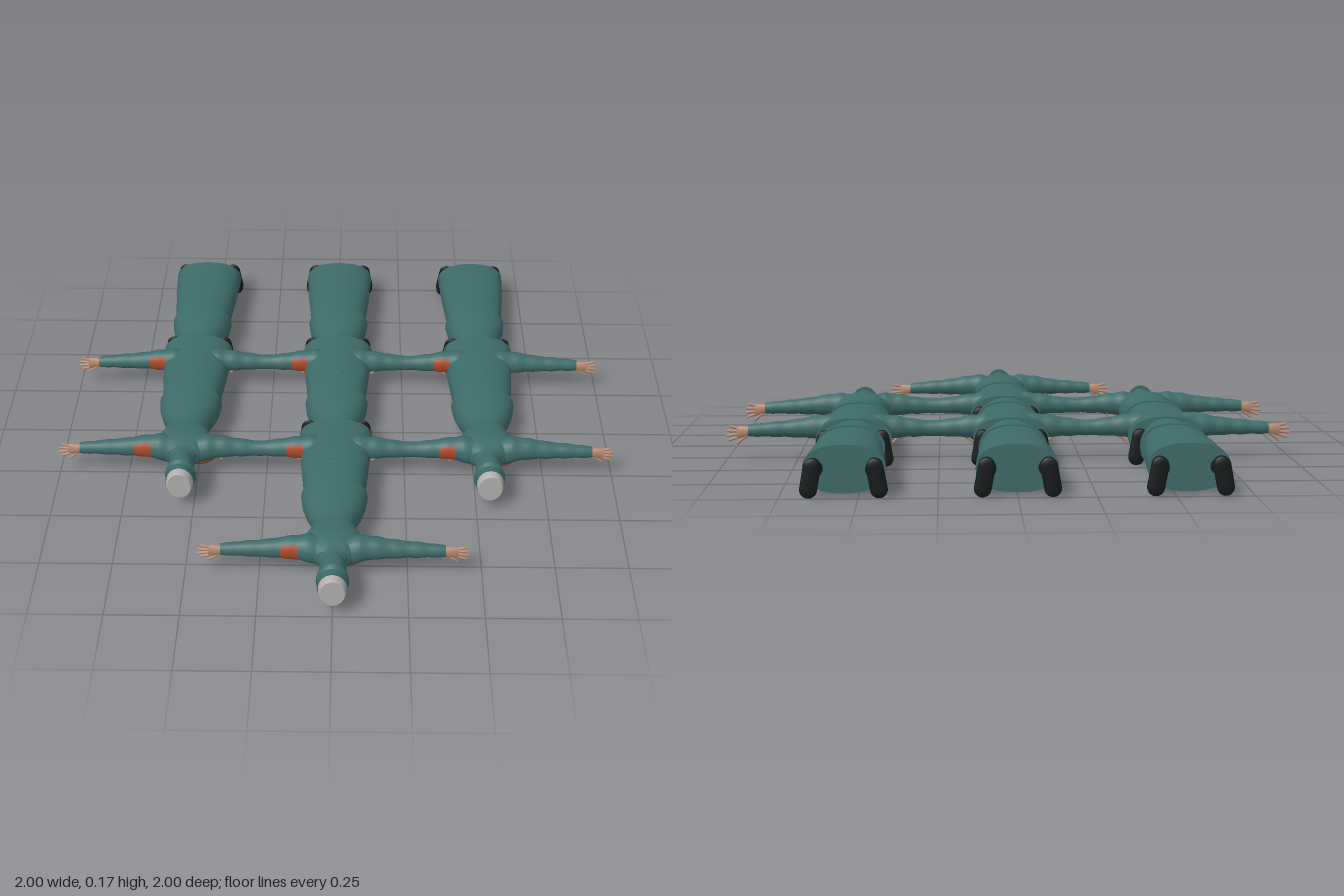
import * as THREE from 'three';

const mat = (name, color, extra = {}) => {
  const m = new THREE.MeshStandardMaterial({ color, ...extra });
  m.name = name;
  return m;
};

// Skin through elliptical stations [t, u, v, ru, rv] along z (u = x) or along x (u = -z); v = y.
// Stations run in rising t; a0..a1 limits the sweep to an open patch.
function loft(stations, { axis = 'z', n = 28, power = 1, a0 = 0, a1 = Math.PI * 2, caps = true } = {}) {
  const closed = a1 - a0 > 6.28, cols = closed ? n : n + 1;
  const pos = [], idx = [];
  const put = (t, u, v) => (axis === 'z' ? pos.push(u, v, t) : pos.push(t, v, -u));
  const bend = (s) => Math.sign(s) * Math.pow(Math.abs(s), power);
  const ring = ([t, u, v, ru, rv]) => {
    for (let j = 0; j < cols; j++) {
      const a = a0 + ((a1 - a0) * j) / n;
      put(t, u + ru * bend(Math.cos(a)), v + rv * bend(Math.sin(a)));
    }
  };
  stations.forEach(ring);
  for (let i = 0; i < stations.length - 1; i++)
    for (let j = 0; j < n; j++) {
      const k = (j + 1) % cols, p = i * cols, q = p + cols;
      idx.push(p + j, p + k, q + k, p + j, q + k, q + j);
    }
  if (caps && closed)
    [stations[0], stations[stations.length - 1]].forEach((s, end) => {
      const b = pos.length / 3;
      ring(s);
      put(s[0], s[1], s[2]);
      for (let j = 0; j < n; j++) {
        const k = (j + 1) % n;
        idx.push(b + n, b + (end ? j : k), b + (end ? k : j));
      }
    });
  const g = new THREE.BufferGeometry();
  g.setAttribute('position', new THREE.Float32BufferAttribute(pos, 3));
  g.setIndex(idx);
  g.computeVertexNormals();
  return g;
}

// Centreline and radii of the sleeve at distance x from the spine, with soft cloth folds
function sleeveAt(x, grow = 0) {
  const keys = [[0.03, 0.105, 0.05, 0.055], [0.09, 0.118, 0.044, 0.048], [0.14, 0.12, 0.036, 0.04],
    [0.22, 0.115, 0.029, 0.031], [0.3, 0.112, 0.024, 0.026], [0.375, 0.108, 0.018, 0.021]];
  let i = 0;
  while (i < keys.length - 2 && x > keys[i + 1][0]) i++;
  const a = keys[i], b = keys[i + 1], f = (x - a[0]) / (b[0] - a[0]);
  const mix = (k) => a[k] + (b[k] - a[k]) * f;
  const fold = 1 + 0.035 * Math.sin(x * 95) + grow;
  return [x, -0.245, mix(1), mix(2) * fold, mix(3) * fold];
}
const range = (a, b, n) => Array.from({ length: n + 1 }, (_, i) => a + ((b - a) * i) / n);
const mirror = (st) => st.map(([t, ...r]) => [-t, ...r]).reverse();

export function createModel() {
  const cloth = mat('teal cloth', 0x3d6b69, { side: THREE.DoubleSide });
  const skin = mat('skin', 0xb98a72);
  const black = mat('black leather', 0x161a1b);
  const grey = mat('grey cap top', 0xb2b0ae);
  const orange = mat('orange armband', 0xa8482a, { side: THREE.DoubleSide });
  const brown = mat('brown cord', 0x823d26);

  const figure = new THREE.Group();
  const add = (name, geo, material, parent = figure) => {
    const m = new THREE.Mesh(geo, material);
    m.name = name;
    parent.add(m);
    return m;
  };

  // Long coat: skirt, jacket and collar
  add('coatSkirt', loft([
    [-0.405, 0, 0.088, 0.132, 0.078], [-0.25, 0, 0.091, 0.123, 0.078],
    [-0.1, 0, 0.095, 0.11, 0.074], [-0.03, 0, 0.095, 0.1, 0.07]], { power: 0.85, n: 36 }), cloth);
  add('jacket', loft([
    [-0.05, 0, 0.092, 0.116, 0.08], [0, 0, 0.093, 0.11, 0.078], [0.05, 0, 0.094, 0.096, 0.072],
    [0.1, 0, 0.096, 0.074, 0.062], [0.125, 0, 0.097, 0.071, 0.06], [0.16, 0, 0.098, 0.086, 0.063],
    [0.2, 0, 0.1, 0.104, 0.067], [0.24, 0, 0.104, 0.108, 0.063], [0.27, 0, 0.108, 0.088, 0.052],
    [0.295, 0, 0.11, 0.055, 0.04]], { power: 0.88, n: 36 }), cloth);
  add('collar', loft([[0.28, 0, 0.108, 0.056, 0.048], [0.3, 0, 0.108, 0.05, 0.046],
    [0.315, 0, 0.106, 0.043, 0.043]]), cloth);
  const flap = add('coatFrontFlap', new THREE.BoxGeometry(0.012, 0.006, 0.33), cloth);
  flap.position.set(0.02, 0.014, -0.23);

  // Head with a hood behind the face
  add('neck', loft([[0.27, 0, 0.105, 0.03, 0.03], [0.34, 0, 0.105, 0.03, 0.03]]), skin);
  const head = add('face', new THREE.SphereGeometry(1, 24, 16), skin);
  head.scale.set(0.039, 0.05, 0.056);
  head.position.set(0, 0.09, 0.355);
  const nose = add('nose', new THREE.SphereGeometry(1, 10, 8), skin);
  nose.scale.set(0.007, 0.012, 0.013);
  nose.position.set(0, 0.041, 0.352);
  for (const s of [-1, 1]) {
    const eye = add('eye', new THREE.SphereGeometry(1, 8, 6), black);
    eye.scale.set(0.005, 0.003, 0.003);
    eye.position.set(s * 0.015, 0.046, 0.371);
  }
  add('hood', loft([[0.295, 0, 0.102, 0.042, 0.05], [0.32, 0, 0.102, 0.044, 0.054],
    [0.355, 0, 0.101, 0.047, 0.058], [0.4, 0, 0.1, 0.046, 0.06]],
  { a0: -0.35, a1: Math.PI + 0.35, n: 24 }), cloth);

  // Cap with a flared brim and a grey top
  add('capBrim', loft([[0.383, 0, 0.1, 0.054, 0.07], [0.39, 0, 0.1, 0.055, 0.07],
    [0.4, 0, 0.1, 0.048, 0.061]]), cloth);
  add('capBand', loft([[0.395, 0, 0.1, 0.049, 0.062], [0.426, 0, 0.102, 0.05, 0.061]]), cloth);
  add('capTop', loft([[0.424, 0, 0.103, 0.047, 0.057], [0.446, 0, 0.103, 0.046, 0.056],
    [0.455, 0, 0.103, 0.041, 0.051]]), grey);

  // Outstretched arms and open hands, thumbs to the front
  const sleeve = range(0.03, 0.375, 42).map((x) => sleeveAt(x));
  const palm = [[0.365, -0.245, 0.107, 0.012, 0.015], [0.385, -0.245, 0.105, 0.011, 0.019],
    [0.405, -0.245, 0.103, 0.009, 0.022], [0.417, -0.245, 0.102, 0.006, 0.02]];
  for (const s of [-1, 1]) {
    const side = s > 0 ? 'left' : 'right';
    const sided = (st) => (s > 0 ? st : mirror(st));
    add(side + 'Sleeve', loft(sided(sleeve), { axis: 'x', n: 20 }), cloth);
    const hand = new THREE.Group();
    hand.name = side + 'Hand';
    figure.add(hand);
    add('palm', loft(sided(palm), { axis: 'x', n: 14 }), skin, hand);
    const finger = (x0, y0, x1, y1, r) => add('finger', loft(sided([
      [x0, -0.245, y0, r, r], [(x0 + x1) / 2, -0.245, (y0 + y1) / 2, r, r],
      [x1 - 0.004, -0.244, y1, r * 0.8, r * 0.8], [x1, -0.243, y1, r * 0.3, r * 0.3]]),
    { axis: 'x', n: 8 }), skin, hand);
    for (let i = 0; i < 4; i++)
      finger(0.41, 0.117 - i * 0.0105, [0.443, 0.452, 0.455, 0.447][i], 0.124 - i * 0.0165, 0.0052);
    finger(0.378, 0.092, 0.418, 0.064, 0.0065);

    // Boots pointing forward with toes turned out
    const boot = new THREE.Group();
    boot.name = side + 'Boot';
    boot.position.set(s * 0.104, 0.066, -0.425);
    boot.rotation.z = s * 0.18;
    figure.add(boot);
    const foot = add('foot', new THREE.CapsuleGeometry(0.026, 0.074, 8, 18), black, boot);
    foot.scale.z = 0.8;
    const sole = add('sole', new THREE.CapsuleGeometry(0.028, 0.072, 6, 18), black, boot);
    sole.scale.z = 0.3;
    sole.position.z = -0.0215;
    const shaft = add('shaft', new THREE.CylinderGeometry(0.026, 0.024, 0.06, 18), black, boot);
    shaft.rotation.x = Math.PI / 2;
    shaft.position.set(-s * 0.008, 0.026, 0.015);
  }

  // Armband patch on the upper side of one sleeve
  add('armband', loft(mirror(range(0.115, 0.175, 12).map((x) => sleeveAt(x, 0.05))),
    { axis: 'x', n: 14, a0: Math.PI - 0.75, a1: Math.PI + 0.65 }), orange);

  // Braided cord looping from the chest to the waist
  const path = new THREE.CatmullRomCurve3([[0.03, 0.045, 0.25], [0.075, 0.03, 0.22], [0.103, 0.025, 0.18],
    [0.104, 0.035, 0.14], [0.088, 0.055, 0.108], [0.066, 0.07, 0.1]].map((p) => new THREE.Vector3(...p)));
  add('cord', new THREE.TubeGeometry(path, 32, 0.0045, 8), brown);

  // Seven figures lying face down: one in front, then two rows of three
  const model = new THREE.Group();
  model.name = 'figureFormation';
  const step = 0.545;
  for (const [col, row] of [[0, 1], [-1, 0], [0, 0], [1, 0], [-1, -1], [0, -1], [1, -1]]) {
    const f = figure.clone();
    f.name = 'lyingFigure';
    f.position.set(col * step, 0, row * step);
    model.add(f);
  }
  return model;
}
